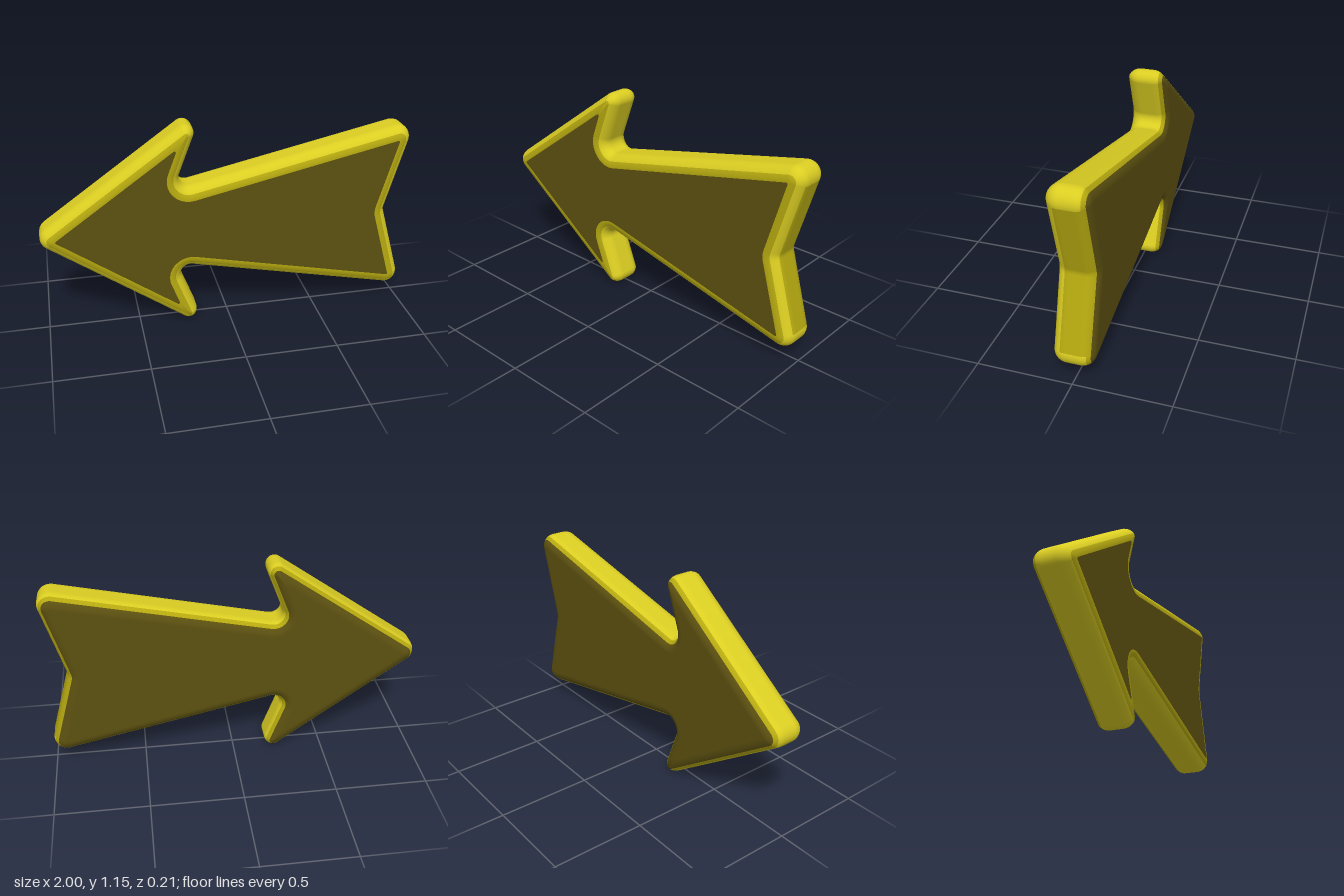
import * as THREE from 'three';

const material = (name, color, extra = {}) => new THREE.MeshStandardMaterial({ name, color, ...extra });

// Sharp corners of the upper half (x, y above the centre line, corner radius; negative = inner fillet)
const MID = 0.579, HALF = 0.106, BEVEL = 0.07, STEPS = 10;
const tip = [-1.05, 0, 0.065], notch = [0.885, 0, -0.05];
const upper = [[1.029, 0.508, 0.07], [-0.295, 0.216, -0.05], [-0.127, 0.658, 0.048]];
const lower = upper.map(([x, y, r]) => [x, -y, r]).reverse();
const corners = [tip, ...lower, notch, ...upper];

// Outline at a given inset: every corner becomes an arc with the same number of points
function outline(inset) {
  const n = corners.length, points = [];
  const edgeAngle = i => {
    const a = corners[(i + n) % n], b = corners[(i + 1) % n];
    return Math.atan2(-(b[0] - a[0]), b[1] - a[1]);
  };
  corners.forEach(([x, y, radius], i) => {
    const a1 = edgeAngle(i - 1);
    let turn = edgeAngle(i) - a1;
    turn = Math.atan2(Math.sin(turn), Math.cos(turn));
    const miter = 1 / Math.cos(turn / 2), am = a1 + turn / 2;
    const r = radius > 0 ? Math.max(radius - inset, 0.008) : radius - inset;
    const cx = x - Math.cos(am) * miter * (inset + r);
    const cy = y - Math.sin(am) * miter * (inset + r);
    for (let k = 0; k <= STEPS; k++) {
      const a = a1 + turn * k / STEPS, nx = Math.cos(a), ny = Math.sin(a);
      points.push({ x: cx + r * nx, y: cy + r * ny, nx, ny });
    }
  });
  return points;
}

// Cross-section ring at a bevel angle: +90 is the front face, -90 the back face
function ring(degrees) {
  const t = THREE.MathUtils.degToRad(degrees);
  const z = Math.sign(t) * (HALF - BEVEL) + BEVEL * Math.sin(t);
  return outline(BEVEL * (1 - Math.cos(t))).map(p => ({
    position: [p.x, p.y, z],
    normal: [p.nx * Math.cos(t), p.ny * Math.cos(t), Math.sin(t)],
  }));
}

// Strip of skin between bevel angles, for the outline segments that pass the test
function band(name, angles, mat, test = () => true) {
  const rings = angles.map(ring), n = rings[0].length;
  const all = rings.flat(), index = [];
  for (let r = 0; r < rings.length - 1; r++) {
    for (let i = 0; i < n; i++) {
      if (!test(i)) continue;
      const a = r * n + i, b = r * n + (i + 1) % n;
      index.push(a, a + n, b, b, a + n, b + n);
    }
  }
  const g = new THREE.BufferGeometry();
  g.setAttribute('position', new THREE.Float32BufferAttribute(all.flatMap(v => v.position), 3));
  g.setAttribute('normal', new THREE.Float32BufferAttribute(all.flatMap(v => v.normal), 3));
  g.setIndex(index);
  const mesh = new THREE.Mesh(g, mat);
  mesh.name = name;
  return mesh;
}

// Flat face closing the bevel
function face(name, mat, back) {
  const shape = new THREE.Shape(outline(BEVEL).map(p => new THREE.Vector2(back ? -p.x : p.x, p.y)));
  const mesh = new THREE.Mesh(new THREE.ShapeGeometry(shape), mat);
  mesh.position.z = back ? -HALF : HALF;
  if (back) mesh.rotation.y = Math.PI;
  mesh.name = name;
  return mesh;
}

export function createModel() {
  const bright = material('bright yellow', 0xdacd22);
  const gold = material('deep yellow', 0xb5a810);
  const dark = material('dark olive', 0x5c5010);

  // Outline segments of the notched tail end, between its two rounded corners
  const arc = STEPS + 1;
  const isTail = i => i >= 3 * arc + STEPS && i < 5 * arc;

  const arrow = new THREE.Group();
  arrow.name = 'arrow';
  arrow.add(
    face('frontFace', dark, false),
    band('frontRim', [90, 82, 74, 67, 60], gold),
    band('frontBevel', [60, 50, 40, 30, 20], bright),
    band('sideWall', [20, 10, 0.01, -0.01, -10, -20, -30], bright, i => !isTail(i)),
    band('tailEnd', [20, 10, 0.01, -0.01, -10, -20, -30], gold, isTail),
    band('backRim', [-30, -40, -50], gold),
    band('backBevel', [-50, -60, -70, -80, -90], dark),
    face('backFace', dark, true),
  );
  arrow.position.y = MID;

  const model = new THREE.Group();
  model.add(arrow);
  return model;
}
